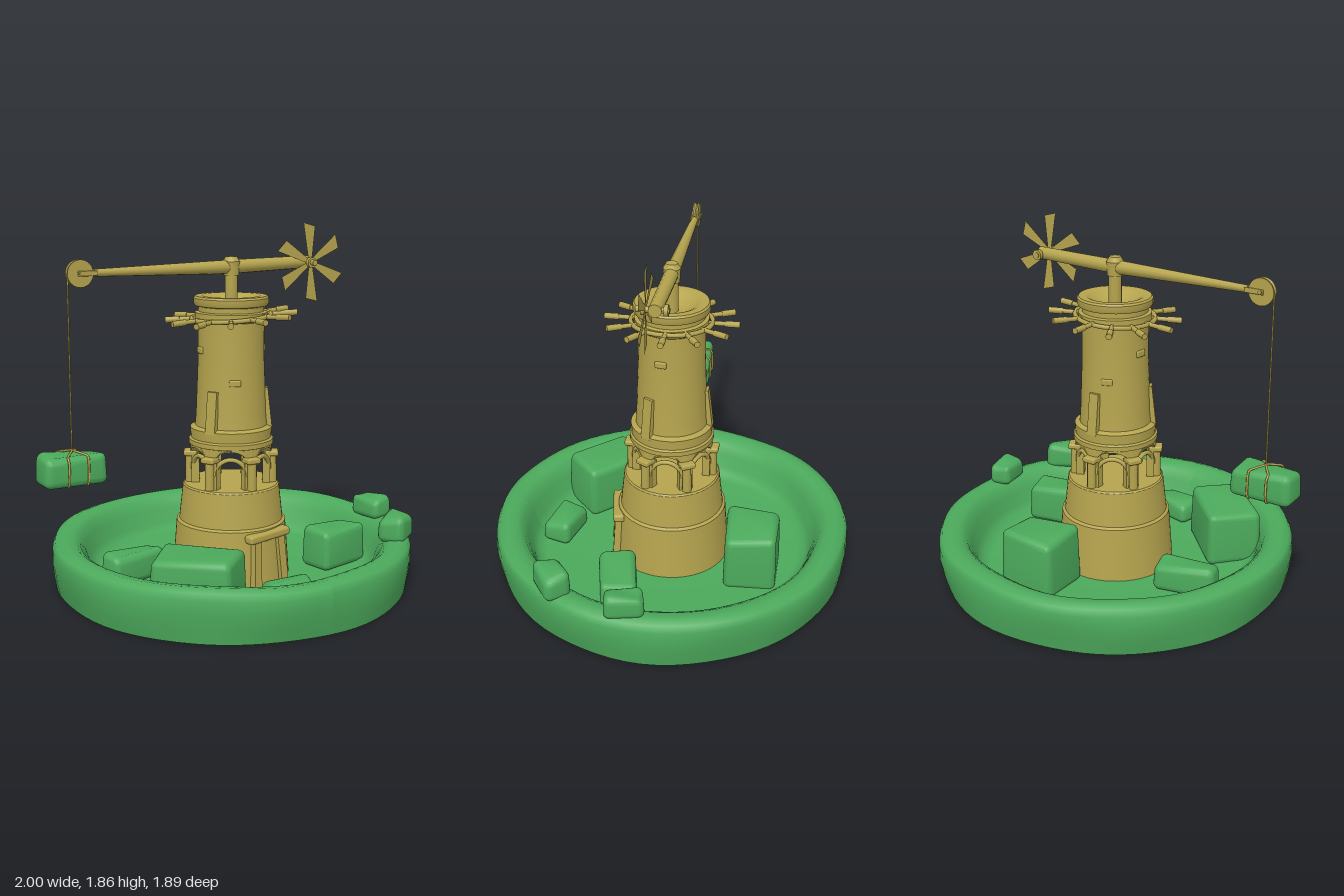
import * as THREE from 'three';
import { toCreasedNormals } from 'three/addons/utils/BufferGeometryUtils.js';
import { RoundedBoxGeometry } from 'three/addons/geometries/RoundedBoxGeometry.js';

const green = new THREE.MeshStandardMaterial({ color: 0x4caa5c });
const greenShell = new THREE.MeshStandardMaterial({ color: 0x4caa5c, side: THREE.DoubleSide });
const ochre = new THREE.MeshStandardMaterial({ color: 0xb5a44e });
const ochreSheet = new THREE.MeshStandardMaterial({ color: 0xb5a44e, side: THREE.DoubleSide });

function add(parent, name, geometry, material = ochre, pos = [0, 0, 0], rot = [0, 0, 0]) {
  const mesh = new THREE.Mesh(geometry, material);
  mesh.name = name;
  mesh.position.set(...pos);
  mesh.rotation.set(...rot);
  parent.add(mesh);
  return mesh;
}

function lathe(profile, segments = 48, crease = 0.6) {
  const points = profile.map(([r, y]) => new THREE.Vector2(r, y));
  return toCreasedNormals(new THREE.LatheGeometry(points, segments), crease);
}

// Straight round bar between two points
function bar(parent, name, a, b, r0, r1 = r0, sides = 10) {
  const p = new THREE.Vector3(...a), q = new THREE.Vector3(...b);
  const dir = q.clone().sub(p);
  const geo = new THREE.CylinderGeometry(r1, r0, dir.length(), sides);
  const mesh = add(parent, name, geo);
  mesh.position.copy(p).add(q).multiplyScalar(0.5);
  mesh.quaternion.setFromUnitVectors(new THREE.Vector3(0, 1, 0), dir.normalize());
  return mesh;
}

// Rounded boulder with a slightly uneven shape
function boulder(parent, name, x, z, w, d, y0, y1, turn, seed) {
  const geo = new RoundedBoxGeometry(w, y1 - y0, d, 4, 0.035);
  const p = geo.attributes.position;
  for (let i = 0; i < p.count; i++) {
    const [a, b, c] = [p.getX(i) / w, p.getY(i) / (y1 - y0), p.getZ(i) / d];
    p.setXYZ(i,
      p.getX(i) * (0.98 - 0.05 * b + 0.03 * Math.sin(seed + 3 * c)),
      p.getY(i) + (b > 0 ? 0.012 * Math.sin(seed * 2 + 4 * a + 3 * c) - 0.008 : 0),
      p.getZ(i) * (0.98 - 0.05 * b + 0.03 * Math.sin(seed * 3 + 3 * a)));
  }
  return add(parent, name, toCreasedNormals(geo, 0.9), green, [x, (y0 + y1) / 2, z], [0, turn, 0]);
}

// Scalloped wall bay above the arcade, bent around the tower axis
function archBay(R, depth, count, y0, top, y1) {
  const half = Math.PI * R / count, r = half * 0.84;
  const shape = new THREE.Shape();
  shape.moveTo(-half, y0);
  for (let i = 0; i <= 16; i++) {
    const t = Math.PI * (1 - i / 16);
    shape.lineTo(r * Math.cos(t), y0 + (top - y0) * Math.sin(t));
  }
  shape.lineTo(half, y0);
  for (let i = 0; i <= 8; i++) shape.lineTo(half * (1 - i / 4), y1);
  const geo = new THREE.ExtrudeGeometry(shape, { depth, bevelEnabled: false });
  const p = geo.attributes.position;
  for (let i = 0; i < p.count; i++) {
    const a = p.getX(i) / R, rad = R - depth + p.getZ(i);
    p.setXYZ(i, rad * Math.sin(a), p.getY(i), rad * Math.cos(a));
  }
  return toCreasedNormals(geo, 0.5);
}

export function createModel() {
  const model = new THREE.Group();
  model.name = 'towerCrane';

  // Hollow earth rim with a sunken floor
  const ground = new THREE.LatheGeometry([[0.92, 0.005], [0.935, 0.08], [0.945, 0.15], [0.944, 0.215],
    [0.928, 0.248], [0.885, 0.262], [0.835, 0.253], [0.8, 0.23], [0.775, 0.18], [0.75, 0.115], [0.725, 0.075], [0.68, 0.055],
    [0.35, 0.05], [0, 0.05]].map(([r, y]) => new THREE.Vector2(r, y)), 72);
  const g = ground.attributes.position;
  for (let i = 0; i < g.count; i++) {
    const a = Math.atan2(g.getX(i), g.getZ(i)), y = g.getY(i);
    const k = 1 + 0.004 * Math.sin(5 * a + 9 * y) + 0.003 * Math.sin(9 * a - 14 * y);
    g.setXYZ(i, g.getX(i) * k, y + (y > 0.2 ? 0.003 * Math.sin(7 * a) : 0), g.getZ(i) * k);
  }
  ground.computeVertexNormals();
  add(model, 'groundRim', ground, greenShell, [0.05, 0, 0]);

  // Boulders: x, z, width, depth, bottom, top, turn
  [[0.213, -0.45, 0.325, 0.28, 0.035, 0.35, 0.03], [-0.47, -0.11, 0.32, 0.15, 0.052, 0.21, 0.22],
    [-0.38, 0.43, 0.42, 0.29, 0.04, 0.335, -0.77], [0.035, 0.6, 0.26, 0.16, 0.052, 0.18, -0.25],
    [0.58, 0.19, 0.32, 0.19, 0.052, 0.27, 0.22], [0.895, 0.095, 0.13, 0.2, 0.245, 0.37, 0.2],
    [0.77, 0.48, 0.2, 0.14, 0.235, 0.375, 0.6]]
    .forEach((s, i) => boulder(model, 'boulder', ...s, i + 1));

  const tower = new THREE.Group();
  tower.name = 'tower';
  tower.position.x = 0.05;
  model.add(tower);

  // Plinth, arcade, upper shaft and dished cap
  add(tower, 'plinth', lathe([[0, 0.052], [0.308, 0.052], [0.286, 0.335], [0.272, 0.345], [0.252, 0.525], [0.245, 0.533], [0, 0.533]]));
  const bay = archBay(0.212, 0.04, 6, 0.66, 0.735, 0.765);
  const rib = new THREE.TorusGeometry(0.083, 0.012, 8, 20, Math.PI);
  for (let i = 0; i < 6; i++) {
    const a = i * Math.PI / 3, b = a + Math.PI / 6;
    const at = (r, y) => [r * Math.sin(a), y, r * Math.cos(a)];
    add(tower, 'archWall', bay, ochre, [0, 0, 0], [0, b, 0]);
    add(tower, 'archRib', rib, ochre, [0.182 * Math.sin(b), 0.605, 0.182 * Math.cos(b)], [0, b, 0]);
    add(tower, 'pier', new THREE.BoxGeometry(0.07, 0.16, 0.04), ochre, at(0.185, 0.607), [0, a, 0]);
    add(tower, 'column', new THREE.CylinderGeometry(0.022, 0.024, 0.16, 12), ochre, at(0.215, 0.607));
    add(tower, 'capital', new RoundedBoxGeometry(0.075, 0.03, 0.07, 2, 0.01), ochre, at(0.212, 0.688), [0, a, 0]);
  }
  add(tower, 'shaft', lathe([[0, 0.738], [0.2, 0.738], [0.219, 0.745], [0.219, 0.77], [0.209, 0.778], [0.212, 0.83],
    [0.187, 0.842], [0.182, 0.9], [0.17, 1.2], [0.17, 1.38], [0.186, 1.39], [0.186, 1.425], [0.168, 1.43], [0.168, 1.455],
    [0.187, 1.46], [0.192, 1.47], [0.192, 1.498], [0.184, 1.508], [0.15, 1.509], [0.13, 1.5], [0.1, 1.475], [0.06, 1.458], [0, 1.452]]));

  // Three tapered buttresses
  const wedge = new THREE.ExtrudeGeometry(new THREE.Shape([[0.14, 0.82], [0.214, 0.82], [0.19, 1.035], [0.14, 1.035]]
    .map(p => new THREE.Vector2(...p))), { depth: 0.055, bevelEnabled: false });
  wedge.translate(0, 0, -0.0275);
  for (let i = 0; i < 3; i++) add(tower, 'buttress', wedge, ochre, [0, 0, 0], [0, Math.PI / 2 + i * Math.PI * 2 / 3, 0]);

  // Small window hoods: angle from front, height
  for (const [a, y] of [[-0.4, 1.08], [1.4, 1.235], [3.5, 1.1], [4.6, 1.235]])
    add(tower, 'windowHood', new RoundedBoxGeometry(0.06, 0.035, 0.02, 2, 0.008), ochre,
      [0.168 * Math.sin(a), y, 0.168 * Math.cos(a)], [0, a, 0]);

  // Doorway with leaning jambs and a log lintel
  const door = new THREE.Group();
  door.name = 'doorway';
  door.rotation.y = 0.2;
  tower.add(door);
  for (const s of [-1, 1])
    add(door, 'doorJamb', new THREE.BoxGeometry(0.045, 0.25, 0.06), ochre, [s * 0.085, 0.172, 0.284], [-0.08, 0, s * 0.06]);
  add(door, 'lintel', new RoundedBoxGeometry(0.27, 0.045, 0.06, 2, 0.015), ochre, [0, 0.305, 0.285], [0, 0, 0.03]);

  // Tilted capstan ring with radial handles
  const ring = new THREE.Group();
  ring.name = 'capstanRing';
  ring.position.y = 1.402;
  ring.rotation.z = 0.07;
  tower.add(ring);
  add(ring, 'hoop', new THREE.TorusGeometry(0.203, 0.012, 8, 48), ochre, [0, 0, 0], [Math.PI / 2, 0, 0]);
  for (let i = 0; i < 12; i++) {
    const a = i * Math.PI / 6, at = r => [r * Math.sin(a), 0, r * Math.cos(a)];
    bar(ring, 'spoke', at(0.17), at(0.29), 0.012);
    bar(ring, 'handle', at(0.265), at(0.338), 0.016);
  }

  // Mast and jib
  bar(tower, 'mast', [0, 1.44, 0], [0, 1.65, 0], 0.033, 0.033, 20);
  add(tower, 'mastHead', lathe([[0, 1.61], [0.04, 1.61], [0.044, 1.68], [0.034, 1.695], [0.03, 1.705], [0, 1.708]], 20));
  bar(model, 'jib', [0.05, 1.652, 0], [-0.7, 1.65, 0], 0.036, 0.018, 12);
  bar(model, 'counterJib', [0.05, 1.652, 0], [0.52, 1.663, 0], 0.036, 0.032, 12);

  // Pulley wheel held by a fork
  const wheel = lathe([[0, -0.016], [0.066, -0.016], [0.066, -0.009], [0.056, 0], [0.066, 0.009], [0.066, 0.016], [0, 0.016]], 32);
  add(model, 'pulleyWheel', wheel, ochre, [-0.775, 1.65, 0], [Math.PI / 2, 0, 0]);
  for (const s of [-1, 1])
    add(model, 'pulleyFork', new RoundedBoxGeometry(0.1, 0.026, 0.009, 2, 0.004), ochre, [-0.74, 1.65, s * 0.02]);
  bar(model, 'pulleyAxle', [-0.775, 1.65, -0.03], [-0.775, 1.65, 0.03], 0.01);

  // Wind wheel on a cross axle
  const fan = new THREE.Group();
  fan.name = 'windWheel';
  fan.position.set(0.5, 1.662, 0);
  model.add(fan);
  bar(fan, 'axle', [0, 0, -0.065], [0, 0, 0.09], 0.015, 0.015, 14);
  for (const z of [-0.05, 0.055]) bar(fan, 'axleCollar', [0, 0, z - 0.01], [0, 0, z + 0.01], 0.027, 0.027, 14);
  const blade = new THREE.ShapeGeometry(new THREE.Shape([[0, -0.008], [0.185, -0.036], [0.208, 0.036], [0, 0.01]]
    .map(p => new THREE.Vector2(...p))));
  for (let i = 0; i < 6; i++) add(fan, 'blade', blade, ochreSheet, [0, 0, 0.045], [0, 0, 1.62 + i * Math.PI / 3]);

  // Hoist rope, hanging boulder and its lashings
  bar(model, 'hoistRope', [-0.836, 1.65, 0], [-0.836, 0.79, 0], 0.0045, 0.0045, 6);
  boulder(model, 'hangingBoulder', -0.84, 0, 0.32, 0.175, 0.635, 0.792, 0, 2);
  for (const x of [-0.885, -0.785]) {
    const loop = new THREE.CatmullRomCurve3([[-0.836, 0.802, 0], [x, 0.785, 0.07], [x, 0.76, 0.088], [x, 0.665, 0.09],
      [x, 0.64, 0.07], [x, 0.638, -0.07], [x, 0.665, -0.09], [x, 0.76, -0.088], [x, 0.785, -0.07]]
      .map(p => new THREE.Vector3(...p)), true, 'catmullrom', 0.2);
    add(model, 'lashing', new THREE.TubeGeometry(loop, 60, 0.006, 6, true));
  }
  return model;
}
